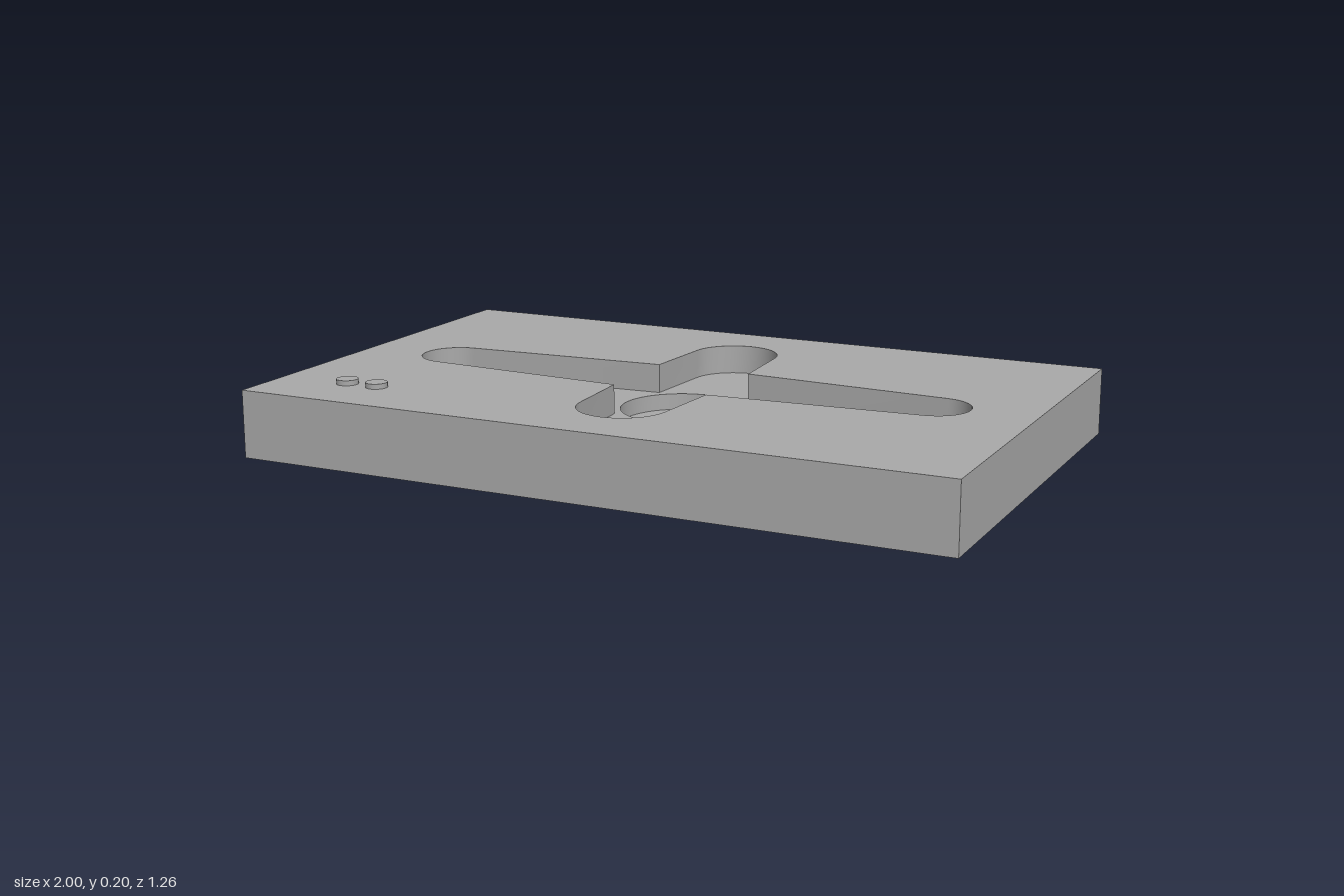
import * as THREE from 'three';
import { toCreasedNormals } from 'three/addons/utils/BufferGeometryUtils.js';

// Plate size, floor heights and bore radii
const HALF_X = 1, HALF_Z = 0.628;
const TOP = 0.187, POCKET_FLOOR = 0.106, BORE_FLOOR = 0.061;
const BORE_R = 0.169, HOLE_R = 0.106;

// Counter-clockwise arc points, angles in degrees
function arc(cx, cy, r, from, to, steps) {
  return Array.from({ length: steps + 1 }, (_, i) => {
    const a = THREE.MathUtils.degToRad(from + (to - from) * i / steps);
    return new THREE.Vector2(cx + r * Math.cos(a), cy + r * Math.sin(a));
  });
}

const circle = (r) => arc(0, 0, r, 0, 360, 64).slice(0, -1);

// Cross outline: four tapered arms with rounded ends meeting at sharp corners
function crossOutline() {
  const c = 0.137;
  const half = [
    ...arc(0.72, 0, 0.1, -86.4, 86.4, 24),
    new THREE.Vector2(c, c),
    ...arc(0, 0.348, 0.123, 4, 176, 24),
    new THREE.Vector2(-c, c),
  ];
  return [...half, ...half.map((p) => p.clone().negate())];
}

// Horizontal face with an opening
function face(outline, opening, y, up = true) {
  const shape = new THREE.Shape(outline);
  shape.holes.push(new THREE.Path(opening));
  const geometry = new THREE.ShapeGeometry(shape);
  geometry.rotateX(up ? -Math.PI / 2 : Math.PI / 2);
  return geometry.translate(0, y, 0);
}

// Vertical wall along a closed outline, facing outward or inward
function wall(outline, y0, y1, inward = true) {
  const pts = inward ? [...outline].reverse() : outline;
  const pos = [];
  pts.forEach((p, i) => {
    const q = pts[(i + 1) % pts.length];
    pos.push(p.x, y0, -p.y, q.x, y0, -q.y, q.x, y1, -q.y);
    pos.push(p.x, y0, -p.y, q.x, y1, -q.y, p.x, y1, -p.y);
  });
  const geometry = new THREE.BufferGeometry();
  geometry.setAttribute('position', new THREE.Float32BufferAttribute(pos, 3));
  geometry.computeVertexNormals();
  return toCreasedNormals(geometry, Math.PI / 6);
}

export function createModel() {
  const model = new THREE.Group();
  model.name = 'pocketedPlate';
  const grey = new THREE.MeshStandardMaterial({ color: 0xaaaaaa });
  grey.name = 'plainGrey';

  const add = (name, geometry) => {
    const mesh = new THREE.Mesh(geometry, grey);
    mesh.name = name;
    model.add(mesh);
    return mesh;
  };

  const rect = [[-1, -1], [1, -1], [1, 1], [-1, 1]]
    .map(([x, y]) => new THREE.Vector2(x * HALF_X, y * HALF_Z));
  const cross = crossOutline();
  const bore = circle(BORE_R);
  const hole = circle(HOLE_R);

  // Plate body
  add('plateTop', face(rect, cross, TOP));
  add('plateSides', wall(rect, 0, TOP, false));
  add('plateBottom', face(rect, hole, 0, false));

  // Cross-shaped pocket
  add('pocketWall', wall(cross, POCKET_FLOOR, TOP));
  add('pocketFloor', face(cross, bore, POCKET_FLOOR));

  // Stepped bore through the centre
  add('counterboreWall', wall(bore, BORE_FLOOR, POCKET_FLOOR));
  add('counterboreFloor', face(bore, hole, BORE_FLOOR));
  add('throughHoleWall', wall(hole, 0, BORE_FLOOR));

  // Two small marker pins near the front right corner
  const pinHeight = 0.014;
  [-0.792, -0.698].forEach((x, i) => {
    const pin = add('markerPin' + (i + 1), new THREE.CylinderGeometry(0.03, 0.03, pinHeight, 32));
    pin.position.set(x, TOP + pinHeight / 2, 0.44);
  });

  return model;
}
